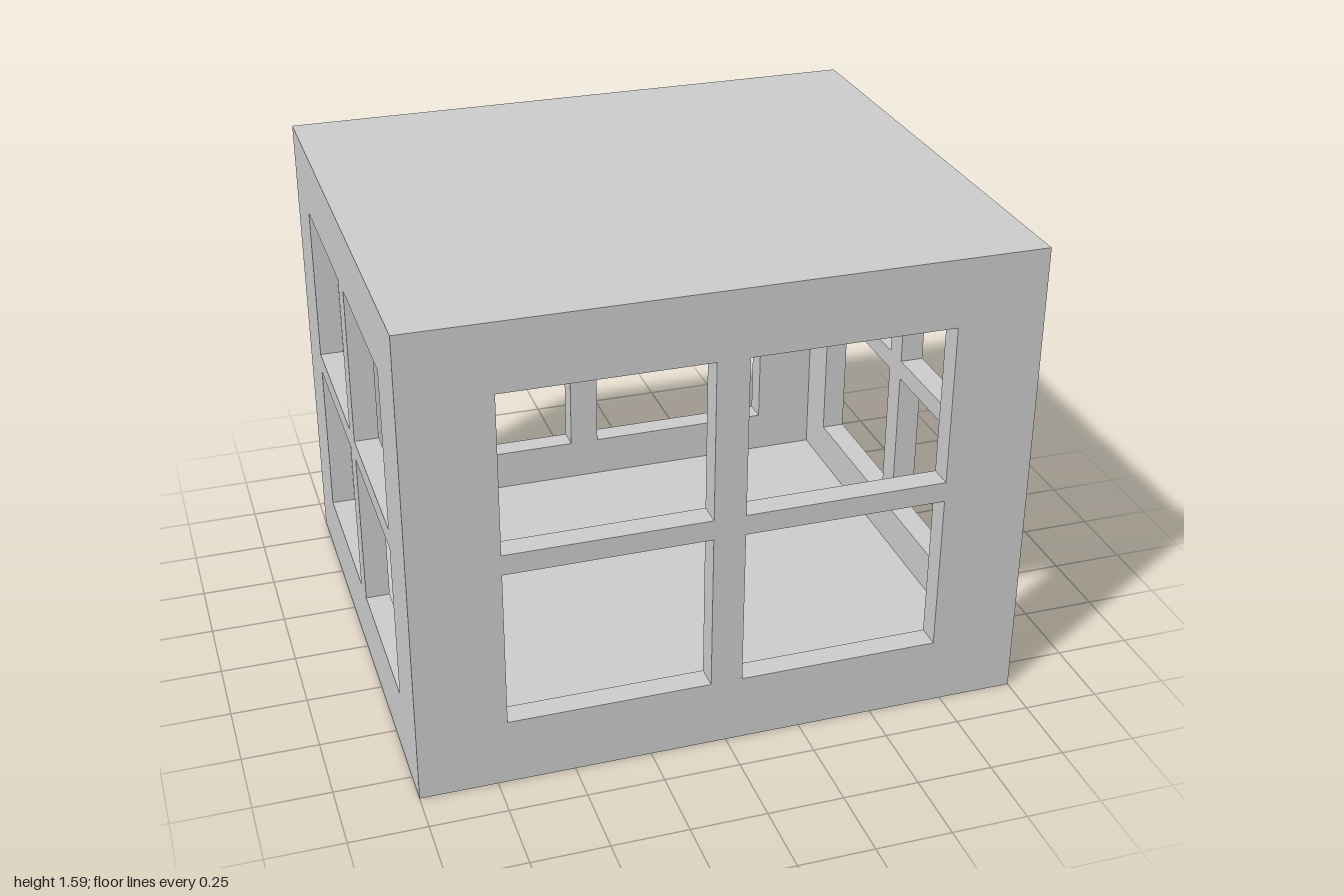
import * as THREE from 'three';

const W = 2, H = 1.588, D = 1.722, T = 0.08; // outer size and wall thickness

function rect(target, x0, y0, x1, y1) {
  target.moveTo(x0, y0);
  target.lineTo(x1, y0);
  target.lineTo(x1, y1);
  target.lineTo(x0, y1);
  target.closePath();
  return target;
}

// Panel centred on its own origin, outside face at z = 0, thickness towards -z.
// The inside face is drawn in by T all round so neighbouring panels meet in a mitre.
function panelGeometry(w, h, windows) {
  const shape = rect(new THREE.Shape(), -w / 2, -h / 2, w / 2, h / 2);
  if (windows) {
    for (const sx of [-1, 1]) for (const sy of [-1, 1]) {
      const xs = [sx * windows.x0, sx * windows.x1].sort((a, b) => a - b);
      const ys = [sy * windows.y0, sy * windows.y1].sort((a, b) => a - b);
      shape.holes.push(rect(new THREE.Path(), xs[0], ys[0], xs[1], ys[1]));
    }
  }
  const geo = new THREE.ExtrudeGeometry(shape, { depth: T, bevelEnabled: false });
  geo.translate(0, 0, -T);
  const p = geo.attributes.position;
  const kept = [];
  for (let i = 0; i < p.count; i += 3) {
    const tri = [0, 1, 2].map(k => new THREE.Vector3().fromBufferAttribute(p, i + k));
    const onRim = tri.every(v => Math.abs(v.x) > w / 2 - 1e-4 || Math.abs(v.y) > h / 2 - 1e-4);
    const flat = tri.every(v => Math.abs(v.z - tri[0].z) < 1e-4);
    if (onRim && !flat) continue; // hidden mitre faces
    for (const v of tri) {
      if (v.z < -T / 2) {
        v.x = THREE.MathUtils.clamp(v.x, -w / 2 + T, w / 2 - T);
        v.y = THREE.MathUtils.clamp(v.y, -h / 2 + T, h / 2 - T);
      }
      kept.push(v.x, v.y, v.z);
    }
  }
  const out = new THREE.BufferGeometry();
  out.setAttribute('position', new THREE.Float32BufferAttribute(kept, 3));
  out.computeVertexNormals();
  return out;
}

export function createModel() {
  const group = new THREE.Group();
  const material = new THREE.MeshStandardMaterial({ color: 0xcccccc, flatShading: true });

  const add = (name, geo, position, rotation) => {
    const mesh = new THREE.Mesh(geo, material);
    mesh.name = name;
    mesh.position.set(...position);
    mesh.rotation.set(...rotation);
    group.add(mesh);
  };

  // Four-pane walls, panes mirrored about the crossing bars
  const wide = panelGeometry(W, H, { x0: 0.052, x1: 0.713, y0: 0.034, y1: 0.569 });
  const narrow = panelGeometry(D, H, { x0: 0.045, x1: 0.614, y0: 0.034, y1: 0.569 });
  add('frontWall', wide, [0, H / 2, D / 2], [0, 0, 0]);
  add('backWall', wide, [0, H / 2, -D / 2], [0, Math.PI, 0]);
  add('leftWall', narrow, [W / 2, H / 2, 0], [0, Math.PI / 2, 0]);
  add('rightWall', narrow, [-W / 2, H / 2, 0], [0, -Math.PI / 2, 0]);

  // Solid floor and roof
  const slab = panelGeometry(W, D);
  add('roof', slab, [0, H, 0], [-Math.PI / 2, 0, 0]);
  add('floor', slab, [0, 0, 0], [Math.PI / 2, 0, 0]);

  return group;
}
